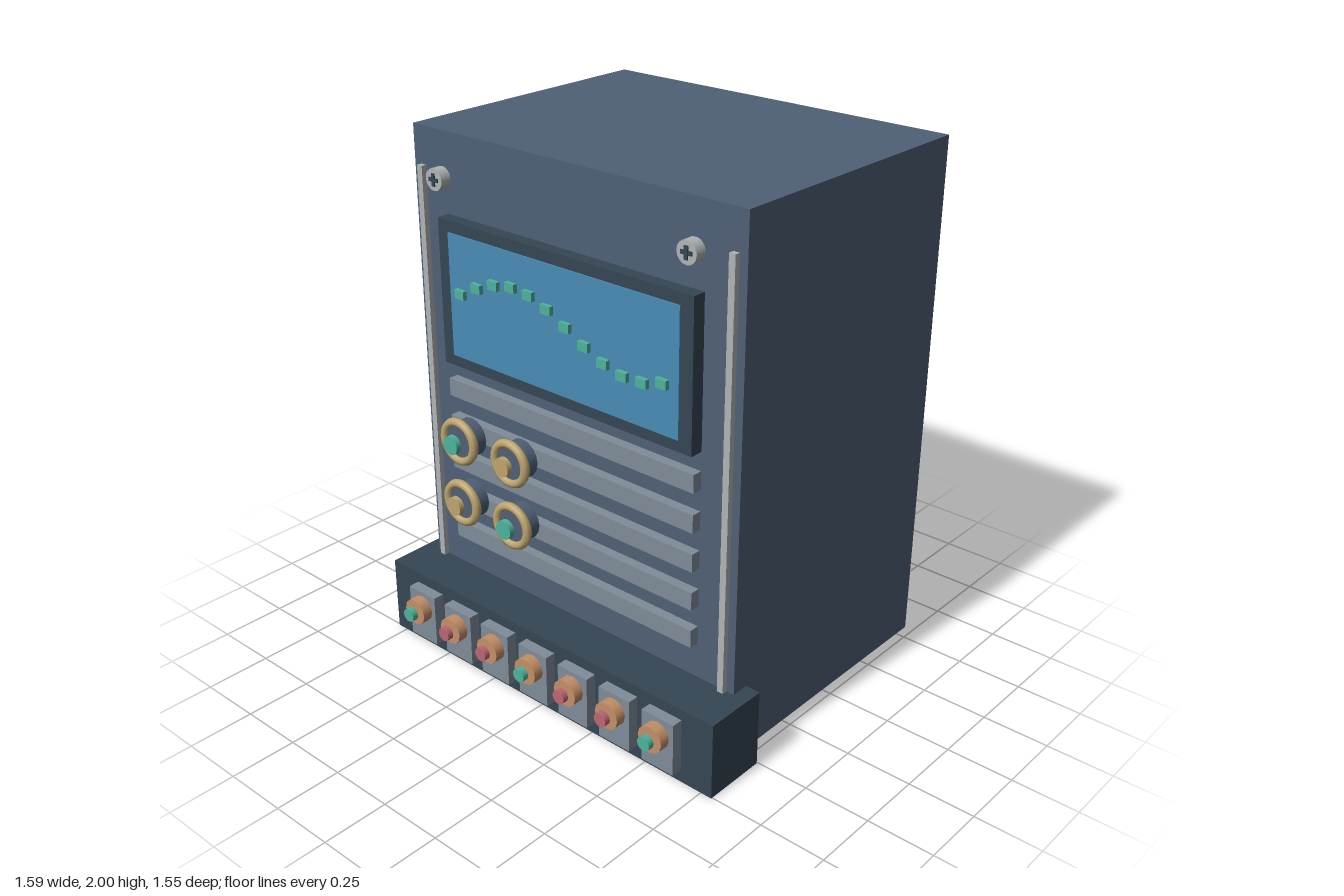
import * as THREE from 'three';

const paint = (name, color) => {
  const m = new THREE.MeshStandardMaterial({ color });
  m.name = name;
  return m;
};

export function createModel() {
  const slate = paint('slate', 0x4f6076);
  const dark = paint('darkSlate', 0x344653);
  const blue = paint('screenBlue', 0x4a8cb5);
  const teal = paint('teal', 0x4db39b);
  const grey = paint('ventGrey', 0x7f8c99);
  const silver = paint('silver', 0xb0b4b5);
  const gold = paint('gold', 0xbca56f);
  const copper = paint('copper', 0xc49068);
  const rose = paint('rose', 0xbc6672);

  const model = new THREE.Group();
  model.name = 'controlCabinet';

  const add = (name, geometry, material, parent = model) => {
    const mesh = new THREE.Mesh(geometry, material);
    mesh.name = name;
    parent.add(mesh);
    return mesh;
  };
  // Box given by centre x, y, size w, h and its z range
  const box = (name, material, x, y, w, h, z0, z1, parent) => {
    const m = add(name, new THREE.BoxGeometry(w, h, z1 - z0), material, parent);
    m.position.set(x, y, (z0 + z1) / 2);
    return m;
  };
  // Cylinder lying along z
  const disc = (name, material, x, y, r, z0, z1, sides, parent) => {
    const g = new THREE.CylinderGeometry(r, r, z1 - z0, sides).rotateX(Math.PI / 2);
    const m = add(name, g, material, parent);
    m.position.set(x, y, (z0 + z1) / 2);
    return m;
  };
  const group = (name) => {
    const g = new THREE.Group();
    g.name = name;
    model.add(g);
    return g;
  };

  // Cabinet and front plinth
  box('cabinet', slate, 0, 1.015, 1.476, 1.97, -0.774, 0.324);
  box('plinth', dark, 0, 0.148, 1.59, 0.296, 0.255, 0.505);

  // Side rails and corner screws
  for (const s of [-1, 1]) {
    box('rail', silver, s * 0.694, 1.03, 0.025, 1.66, 0.32, 0.345);
    const screw = group('screw');
    disc('screwHead', silver, s * 0.562, 1.846, 0.04, 0.355, 0.397, 16, screw);
    box('screwSlot', dark, s * 0.562, 1.846, 0.045, 0.014, 0.39, 0.401, screw);
    box('screwSlot', dark, s * 0.562, 1.846, 0.014, 0.045, 0.39, 0.402, screw);
  }

  // Display with a wave of small markers
  box('displayFrame', dark, 0, 1.432, 1.154, 0.545, 0.32, 0.375);
  box('displayScreen', blue, 0, 1.432, 1.05, 0.46, 0.373, 0.38);
  for (let i = 0; i < 12; i++) {
    box('waveMarker', teal, -0.464 + i * 0.0843, 1.45 + 0.09 * Math.sin(i * 0.5),
      0.045, 0.033, 0.378, 0.397);
  }

  // Vent slats
  for (let i = 0; i < 5; i++) {
    box('ventSlat', grey, 0, 1.056 - i * 0.1475, 1.154, 0.068, 0.32, 0.362);
  }

  // Four raised knobs
  for (let i = 0; i < 4; i++) {
    const x = i % 2 ? 0.119 : -0.119;
    const y = i < 2 ? 1.118 : 0.89;
    const knob = group('knob');
    disc('knobBody', slate, x, y, 0.066, 0.673, 0.735, 16, knob);
    add('knobRing', new THREE.TorusGeometry(0.069, 0.0155, 8, 24), gold, knob)
      .position.set(x, y, 0.732);
    disc('knobCap', i === 0 || i === 3 ? teal : gold, x, y, 0.033, 0.754, 0.774, 16, knob);
  }

  // Row of push buttons on the plinth
  for (let i = -3; i <= 3; i++) {
    const x = i * 0.197;
    const button = group('button');
    box('buttonPlate', grey, x, 0.152, 0.14, 0.205, 0.5, 0.548, button);
    disc('buttonCollar', copper, x, 0.186, 0.052, 0.545, 0.588, 12, button);
    disc('buttonCap', i % 3 === 0 ? teal : rose, x, 0.186, 0.027, 0.597, 0.62, 12, button);
  }

  return model;
}
